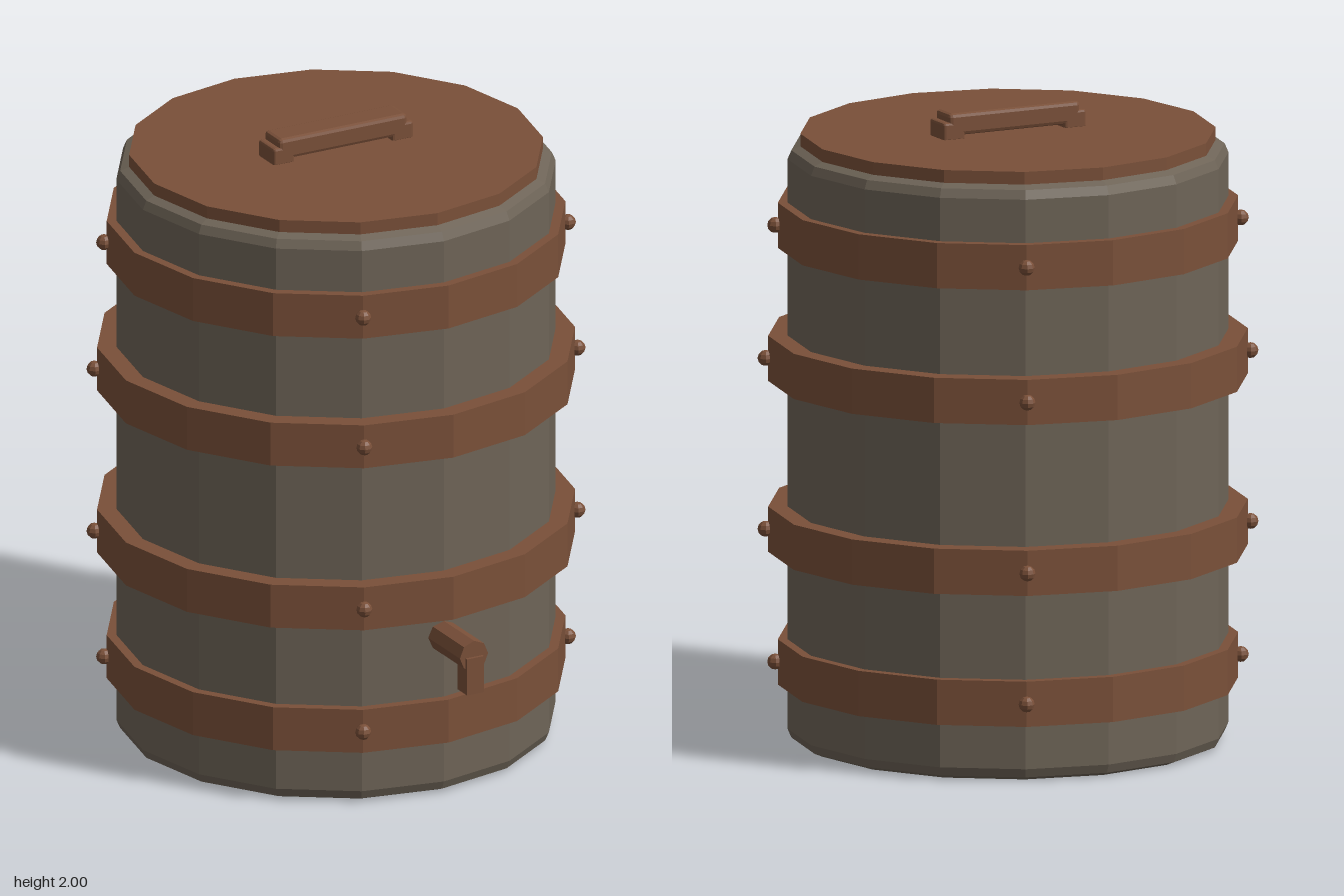
import * as THREE from 'three';
import { RoundedBoxGeometry } from 'three/addons/geometries/RoundedBoxGeometry.js';

const SIDES = 16;
const CENTER_Z = -0.07;

// Split the faces so every facet gets its own normal.
function faceted(geometry) {
  const flat = geometry.index ? geometry.toNonIndexed() : geometry;
  flat.computeVertexNormals();
  return flat;
}

// Sixteen-sided turned shape from [radius, height] pairs, bottom to top.
function turned(profile) {
  const points = profile.map(([r, y]) => new THREE.Vector2(r, y));
  return faceted(new THREE.LatheGeometry(points, SIDES));
}

function part(parent, name, geometry, material, x = 0, y = 0, z = 0) {
  const mesh = new THREE.Mesh(geometry, material);
  mesh.name = name;
  mesh.position.set(x, y, z);
  parent.add(mesh);
  return mesh;
}

export function createModel() {
  const grey = new THREE.MeshStandardMaterial({ color: 0x6e6457 });
  grey.name = 'weathered grey';
  const brown = new THREE.MeshStandardMaterial({ color: 0x7a5039 });
  brown.name = 'rusty brown';

  const model = new THREE.Group();
  model.name = 'barrel';
  const drum = new THREE.Group();
  drum.name = 'drum';
  drum.position.z = CENTER_Z;
  model.add(drum);

  // Body with softened rims
  part(drum, 'body', turned([
    [0, 0], [0.645, 0], [0.673, 0.012], [0.685, 0.04],
    [0.685, 1.84], [0.673, 1.868], [0.645, 1.88], [0, 1.88],
  ]), grey);

  // Lid
  part(drum, 'lid', turned([[0, 1.875], [0.645, 1.875], [0.645, 1.92], [0, 1.92]]), brown);

  // Lid handle: a bar on two feet
  const handle = new THREE.Group();
  handle.name = 'handle';
  drum.add(handle);
  part(handle, 'handleBar', faceted(new RoundedBoxGeometry(0.455, 0.07, 0.1, 1, 0.012)), brown, 0, 1.965, 0);
  for (const side of [-1, 1]) {
    part(handle, 'handleFoot', faceted(new RoundedBoxGeometry(0.075, 0.06, 0.1, 1, 0.008)), brown, side * 0.2105, 1.943, 0);
  }

  // Hoops, each with four rivets a quarter turn apart
  const rivetGeometry = faceted(new THREE.SphereGeometry(0.025, 8, 6));
  const hoops = [
    { y: 0.18, r: 0.715 },
    { y: 0.60, r: 0.745 },
    { y: 1.14, r: 0.745 },
    { y: 1.56, r: 0.715 },
  ];
  for (const { y, r } of hoops) {
    const hoop = new THREE.Group();
    hoop.name = 'hoop';
    drum.add(hoop);
    part(hoop, 'hoopBand', turned([[0.67, y], [r, y], [r, y + 0.143], [0.67, y + 0.143]]), brown);
    for (let i = 0; i < 4; i++) {
      const a = Math.PI / 8 + i * Math.PI / 2;
      const d = r + 0.008;
      const rivet = part(hoop, 'rivet', rivetGeometry, brown, Math.cos(a) * d, y + 0.073, Math.sin(a) * d);
      rivet.rotation.y = -a;
    }
  }

  // Tap: pipe through the front with a square spout
  const tap = new THREE.Group();
  tap.name = 'tap';
  model.add(tap);
  const pipe = new THREE.CylinderGeometry(0.05, 0.05, 0.25, 8).rotateX(Math.PI / 2);
  part(tap, 'tapPipe', faceted(pipe), brown, 0, 0.525, 0.681);
  part(tap, 'tapSpout', faceted(new THREE.BoxGeometry(0.06, 0.12, 0.06)), brown, 0, 0.462, 0.786);

  return model;
}
